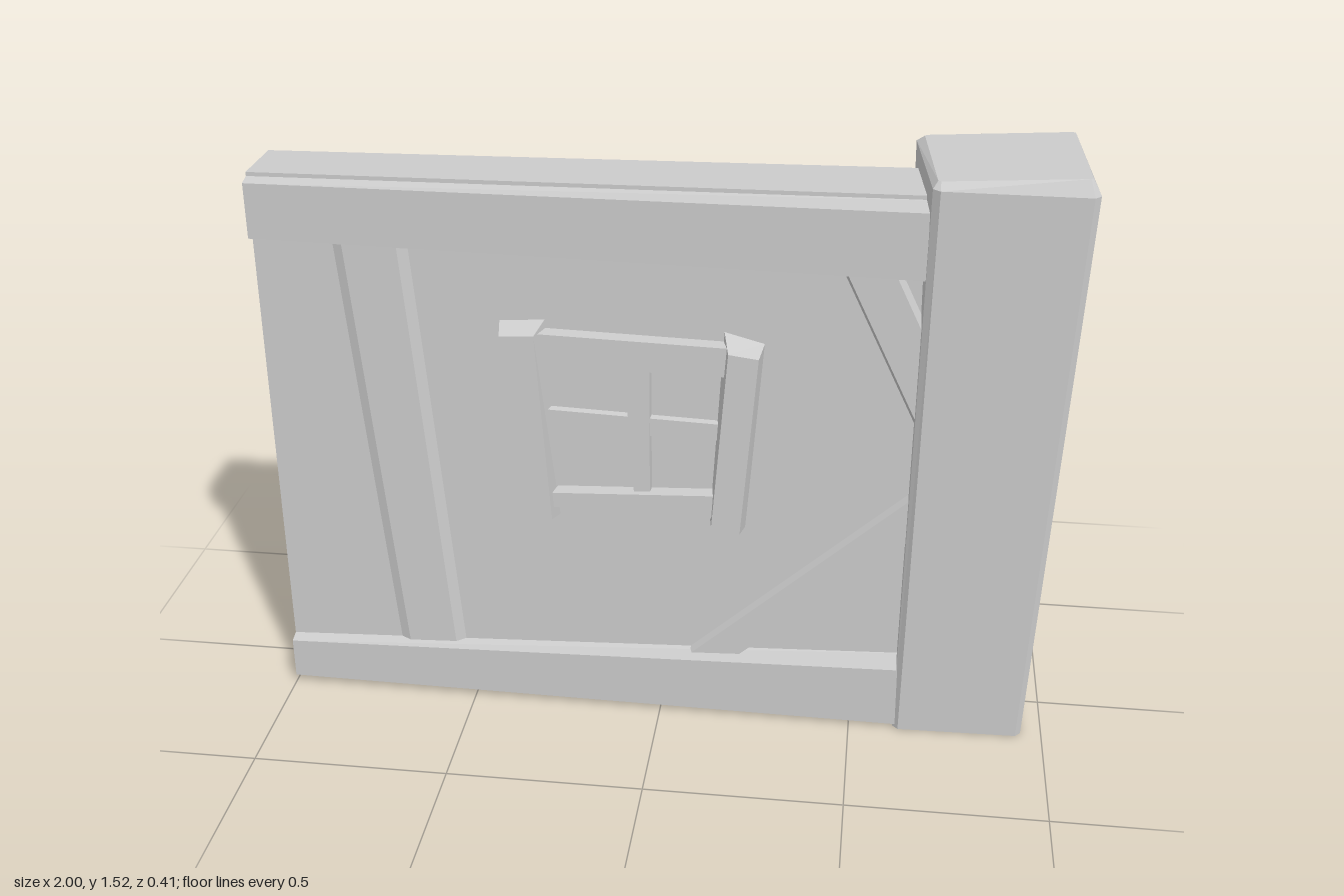
import * as THREE from 'three';

const material = new THREE.MeshStandardMaterial({ color: 0xcccccc, flatShading: true, side: THREE.DoubleSide });

// The panel leans slightly back towards the post
const wallZ = (x) => 0.12 - 0.019 * (x + 1);

// Mesh from a list of quads / polygons (each a loop of [x, y, z])
function faceted(name, faces) {
  const pos = [];
  for (const f of faces)
    for (let i = 1; i < f.length - 1; i++) pos.push(...f[0], ...f[i], ...f[i + 1]);
  const g = new THREE.BufferGeometry();
  g.setAttribute('position', new THREE.Float32BufferAttribute(pos, 3));
  g.computeVertexNormals();
  const mesh = new THREE.Mesh(g, material);
  mesh.name = name;
  return mesh;
}

// Side walls joining two loops of equal length
function bridge(a, b, closed = true) {
  const faces = [];
  for (let i = 0; i < a.length - (closed ? 0 : 1); i++) {
    const j = (i + 1) % a.length;
    faces.push([a[i], a[j], b[j], b[i]]);
  }
  return faces;
}

// Board on the panel: counterclockwise base outline, front outline, depth rule
function board(name, base, front, depth, sink = 0) {
  const back = base.map(([x, y]) => [x, y, wallZ(x) - sink]);
  const face = front.map(([x, y]) => [x, y, wallZ(x) + depth(x)]);
  return faceted(name, [...bridge(back, face), face]);
}

// Shrinks a convex counterclockwise outline by a bevel width
function inset(pts, w) {
  const n = pts.length;
  return pts.map((p, i) => {
    const a = pts[(i + n - 1) % n], b = pts[(i + 1) % n];
    const u = new THREE.Vector2(p[0] - a[0], p[1] - a[1]).normalize();
    const v = new THREE.Vector2(b[0] - p[0], b[1] - p[1]).normalize();
    const k = w / (1 + u.dot(v));
    return [p[0] - (u.y + v.y) * k, p[1] + (u.x + v.x) * k];
  });
}

const plank = (name, pts, depth, bevel, sink = 0) =>
  board(name, pts, inset(pts, bevel), () => depth, sink);

// Four corners (back left, front left, front right, back right) to a chamfered ring
function chamferRing(c, w) {
  const ring = [];
  c.forEach((p, i) => {
    const v = new THREE.Vector3(...p);
    for (const k of [(i + 3) % 4, (i + 1) % 4]) {
      const d = new THREE.Vector3(...c[k]).sub(v).setLength(w);
      ring.push(v.clone().add(d).toArray());
    }
  });
  return ring;
}

function createPost() {
  const foot = chamferRing([[0.615, 0, -0.155], [0.615, 0, 0.168], [0.947, 0, 0.16], [0.94, 0, -0.168]], 0.014);
  const neck = chamferRing([[0.585, 1.49, -0.187], [0.625, 1.49, 0.203], [0.999, 1.48, 0.178], [0.98, 1.48, -0.212]], 0.016);
  const top = chamferRing([[0.605, 1.505, -0.168], [0.635, 1.505, 0.178], [0.978, 1.518, 0.156], [0.963, 1.52, -0.188]], 0.006);
  const post = new THREE.Group();
  post.name = 'post';
  // Shaft is open at the back and underneath
  post.add(faceted('postShaft', bridge(foot, neck, false)));
  post.add(faceted('postCap', [...bridge(neck, top), top]));
  return post;
}

function createWindow() {
  const win = new THREE.Group();
  win.name = 'window';
  // Rails and glazing bars
  const rail = (name, pts, depth) => win.add(plank(name, pts, depth, 0.004, 0.012));
  rail('topRail', [[-0.32, 0.978], [0.18, 0.968], [0.18, 1.052], [-0.32, 1.07]], 0.035);
  rail('bottomRail', [[-0.3, 0.585], [0.16, 0.573], [0.16, 0.647], [-0.3, 0.632]], 0.035);
  rail('crossBar', [[-0.31, 0.8], [0.17, 0.785], [0.17, 0.838], [-0.31, 0.86]], 0.018);
  rail('uprightBar', [[-0.072, 0.61], [-0.025, 0.61], [-0.025, 1], [-0.097, 1]], 0.02);
  // Splayed stiles with sloping ends
  const depth = () => 0.052;
  win.add(board('rightStile',
    [[-0.352, 0.572], [-0.263, 0.55], [-0.288, 1.09], [-0.4, 1.083]],
    [[-0.347, 0.565], [-0.275, 0.562], [-0.307, 1.066], [-0.392, 1.063]], depth));
  win.add(board('leftStile',
    [[0.122, 0.558], [0.212, 0.54], [0.25, 1.05], [0.152, 1.077]],
    [[0.13, 0.562], [0.202, 0.545], [0.24, 1.03], [0.166, 1.04]], depth));
  return win;
}

export function createModel() {
  const model = new THREE.Group();
  const end = 0.77;

  // Thin wall panel, running on inside the post
  model.add(faceted('wallPanel', [[
    [-1, 0.01, wallZ(-1)], [end, 0.005, wallZ(end)], [end, 1.44, wallZ(end)], [-1, 1.44, wallZ(-1)]]]));
  // Flat coping overhanging the back
  model.add(faceted('coping', [[
    [-1, 1.44, wallZ(-1)], [end, 1.44, wallZ(end)], [end, 1.44, -0.118], [-1, 1.44, -0.05]]]));

  // Horizontal beams, growing thicker towards the post
  const beamDepth = (x) => 0.03 + 0.025 * (x + 1);
  model.add(board('topBeam',
    [[-1, 1.272], [end, 1.25], [end, 1.43], [-1, 1.43]],
    [[-1, 1.282], [end, 1.254], [end, 1.422], [-1, 1.422]], beamDepth));
  model.add(board('bottomBeam',
    [[-1, 0.01], [end, 0.002], [end, 0.19], [-1, 0.138]],
    [[-1, 0.02], [end, 0.008], [end, 0.182], [-1, 0.13]], beamDepth));

  // Shallow leaning board and diagonal braces
  model.add(plank('leaningBoard', [[-0.7, 0.1], [-0.525, 0.1], [-0.62, 1.3], [-0.805, 1.3]], 0.012, 0.025));
  model.add(plank('upperBrace', [[0.4, 1.3], [0.66, 0.76], [0.72, 0.95], [0.55, 1.3]], 0.03, 0.016, 0.015));
  model.add(plank('lowerBrace', [[0.02, 0.125], [0.17, 0.125], [0.7, 0.587], [0.7, 0.735]], 0.025, 0.01, 0.015));

  model.add(createWindow(), createPost());
  return model;
}
